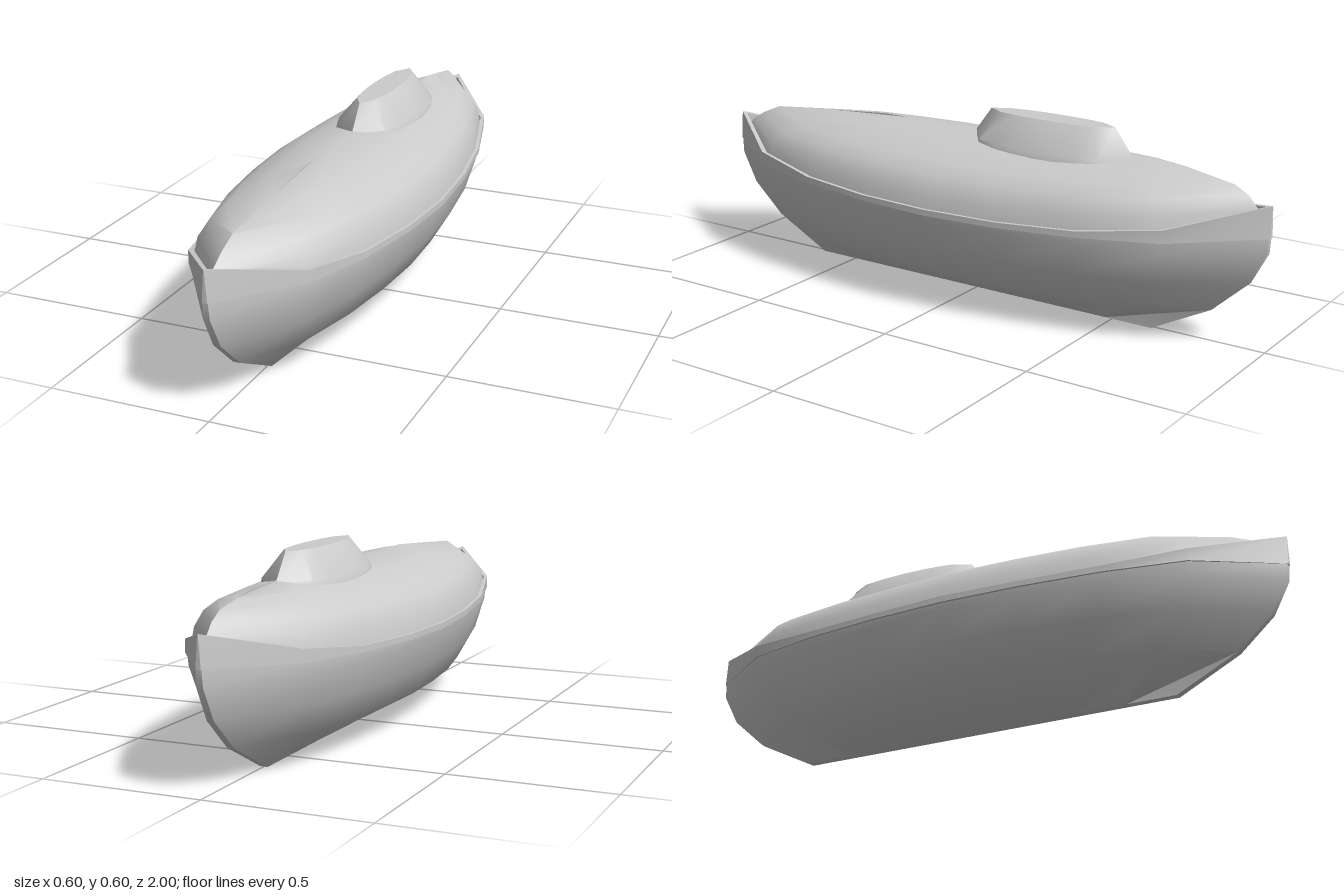
import * as THREE from 'three';
import { toCreasedNormals } from 'three/addons/utils/BufferGeometryUtils.js';

// stations along the boat as fractions of its half length, bow (+z) to stern
const STATIONS = [1, 0.75, 0.5, 0.25, 0, -0.25, -0.5, -0.75, -1];
// half width at each station as a fraction of the widest point, amidships to tip
const HULL_PLAN = [1, 0.95, 0.83, 0.61, 0];
const CABIN_PLAN = [1, 0.97, 0.88, 0.69, 0];

// One closed horizontal ring. w: half width, front/back: half lengths,
// mid: height amidships, endF/endB: height at the tips, power: how late it rises.
function ring({ w, front, back = front, mid, endF = mid, endB = endF, power = 2, stem = 0, plan = HULL_PLAN, z = 0 }) {
  const side = STATIONS.map((t) => {
    const a = Math.abs(t);
    const x = Math.max(w * plan[Math.round(a * 4)], stem);
    const y = mid + ((t > 0 ? endF : endB) - mid) * a ** power;
    return [x, y, z + t * (t > 0 ? front : back)];
  });
  return [...side, ...side.slice().reverse().map(([x, y, pz]) => [-x, y, pz])];
}

// Skin a stack of rings, listed from the bottom up
function loft(name, rings, material, crease) {
  const n = rings[0].length;
  const index = [];
  for (let r = 0; r < rings.length - 1; r++) {
    for (let i = 0; i < n; i++) {
      const a = r * n + i;
      const b = r * n + ((i + 1) % n);
      index.push(a, b, b + n, a, b + n, a + n);
    }
  }
  const geometry = new THREE.BufferGeometry();
  geometry.setAttribute('position', new THREE.Float32BufferAttribute(rings.flat(2), 3));
  geometry.setIndex(index);
  const mesh = new THREE.Mesh(toCreasedNormals(geometry, crease), material);
  mesh.name = name;
  return mesh;
}

export function createModel() {
  const group = new THREE.Group();
  group.name = 'boat';
  const grey = new THREE.MeshStandardMaterial({ color: 0xcccccc, side: THREE.DoubleSide });

  // hull: narrow flat keel, rounded sides, thin flat stem at both ends
  const hull = [
    ring({ w: 0, front: 0.635, mid: 0 }),
    ring({ w: 0.012, front: 0.635, mid: 0, stem: 0.012 }),
    ring({ w: 0.198, front: 0.83, mid: 0.1, stem: 0.011 }),
    ring({ w: 0.258, front: 0.94, mid: 0.2, stem: 0.011 }),
    ring({ w: 0.29, front: 0.993, mid: 0.3, stem: 0.01 }),
    ring({ w: 0.293, front: 0.997, mid: 0.318, endF: 0.35, power: 1.8, stem: 0.008 }),
  ];
  group.add(loft('hull', hull, grey, 0.7));

  // rail: raised strake around the sheer that sweeps up at bow and stern
  const rail = [
    ring({ w: 0.291, front: 0.995, mid: 0.318, endF: 0.35, power: 1.8, stem: 0.006 }),
    ring({ w: 0.302, front: 1, mid: 0.318, endF: 0.35, power: 1.8, stem: 0.008 }),
    ring({ w: 0.302, front: 1, mid: 0.337, endF: 0.445, power: 3.5, stem: 0.001 }),
    ring({ w: 0.29, front: 0.98, mid: 0.337, endF: 0.44, power: 3.5 }),
    ring({ w: 0.286, front: 0.97, mid: 0.325, endF: 0.38, power: 3.5 }),
  ];
  group.add(loft('rail', rail, grey, 0.6));

  // deck: turtle back, its crown reaching further towards the stern
  const deck = [
    ring({ w: 0.292, front: 0.97, mid: 0.333, endF: 0.4, power: 3.5 }),
    ring({ w: 0.284, front: 0.95, back: 0.955, mid: 0.378, endF: 0.425, endB: 0.43 }),
    ring({ w: 0.255, front: 0.9, back: 0.925, mid: 0.432, endF: 0.455, endB: 0.465 }),
    ring({ w: 0.21, front: 0.83, back: 0.88, mid: 0.463, endF: 0.485, endB: 0.49 }),
    ring({ w: 0.13, front: 0.6, back: 0.78, mid: 0.5, endF: 0.505, endB: 0.508 }),
    ring({ w: 0, front: 0.37, back: 0.68, mid: 0.524 }),
  ];
  group.add(loft('deck', deck, grey, 0.8));

  // cabin: tapered, pointed at both ends, with a flat roof
  const cabin = [
    { w: 0.124, front: 0.288, mid: 0.49 },
    { w: 0.118, front: 0.282, mid: 0.518 },
    { w: 0.044, front: 0.22, mid: 0.6 },
    { w: 0, front: 0.22, mid: 0.6 },
  ].map((r) => ring({ ...r, plan: CABIN_PLAN, z: -0.268 }));
  group.add(loft('cabin', cabin, grey, 0.65));

  return group;
}
